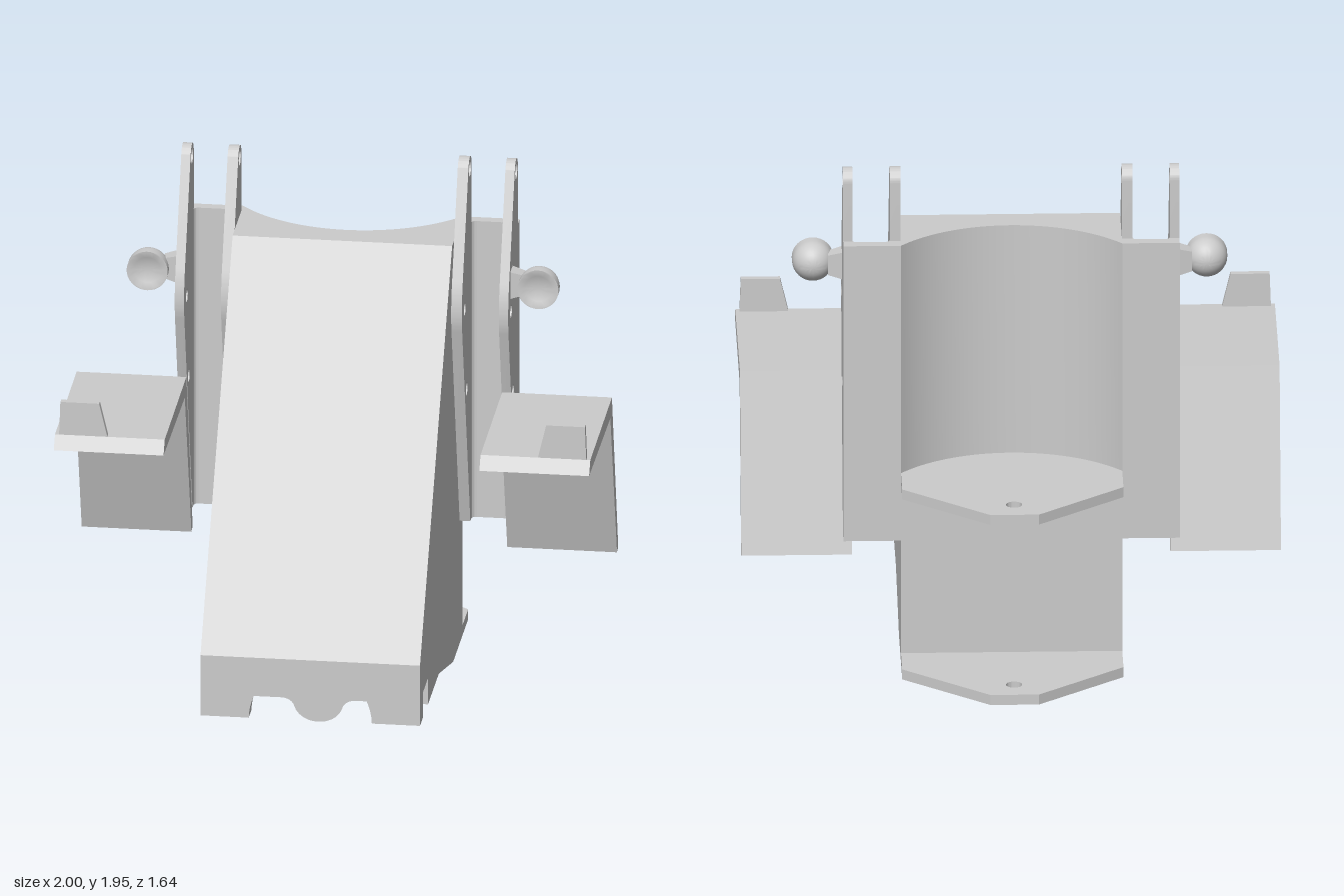
import * as THREE from 'three';
import { toCreasedNormals } from 'three/addons/utils/BufferGeometryUtils.js';

const material = new THREE.MeshStandardMaterial({ color: 0xcccccc });

function polygon(points) {
  return new THREE.Shape(points.map(([a, b]) => new THREE.Vector2(a, b)));
}

function addHole(shape, a, b, r) {
  shape.holes.push(new THREE.Path().absarc(a, b, r, 0, Math.PI * 2, true));
}

function extrude(shape, depth) {
  return new THREE.ExtrudeGeometry(shape, { depth, bevelEnabled: false, curveSegments: 24 });
}

// Side profile drawn as (z, y), spanning x0..x1
function extrudeX(shape, x0, x1) {
  return extrude(shape, Math.abs(x1 - x0)).rotateY(-Math.PI / 2).translate(Math.max(x0, x1), 0, 0);
}

// Plan drawn as (x, -z), spanning y0..y1
function extrudeY(shape, y0, y1) {
  return extrude(shape, y1 - y0).rotateX(-Math.PI / 2).translate(0, y0, 0);
}

// Front outline drawn as (x, y), spanning z0..z1
function extrudeZ(shape, z0, z1) {
  return extrude(shape, z1 - z0).translate(0, 0, z0);
}

export function createModel() {
  const model = new THREE.Group();
  const add = (name, geometry, parent = model) => {
    const mesh = new THREE.Mesh(toCreasedNormals(geometry, 0.5), material);
    mesh.name = name;
    parent.add(mesh);
    return mesh;
  };
  const W = 0.41;

  // Sloped main body
  add('body', extrudeX(polygon([
    [0.82, 0.36], [-0.1, 1.67], [-0.2, 1.67], [-0.2, 0.74], [-0.4, 0.74], [-0.4, 0],
    [-0.13, 0], [0.28, 0.115], [0.59, 0.115], [0.59, 0.36],
  ]), -W, W));

  // Upper back, hollowed by a cylindrical recess
  const R = 0.537, centre = 0.747, a = Math.asin(W / R);
  const recess = polygon([[W, 0.4], [W, 0.2], [-W, 0.2], [-W, 0.4]]);
  recess.absarc(0, centre, R, -Math.PI / 2 - a, -Math.PI / 2 + a, false);
  add('curvedBack', extrudeY(recess, 0.74, 1.67));

  // Front lip with an arch, stepped underneath
  const arch = (y0) => {
    const start = Math.asin((y0 - 0.115) / 0.23);
    const shape = new THREE.Shape();
    shape.moveTo(W, y0);
    shape.lineTo(W, 0.36);
    shape.lineTo(-W, 0.36);
    shape.lineTo(-W, y0);
    shape.absarc(0, 0.115, 0.23, Math.PI - start, start, true);
    return shape;
  };
  add('frontLip', extrudeZ(arch(0.12), 0.74, 0.82));
  add('frontLipRoot', extrudeZ(arch(0.22), 0.59, 0.74));

  // Rounded keel under the front
  const keel = new THREE.Shape();
  keel.moveTo(0.135, 0.115);
  keel.lineTo(-0.135, 0.115);
  keel.quadraticCurveTo(-0.105, 0.112, -0.092, 0.09);
  keel.bezierCurveTo(-0.07, 0.003, 0.07, 0.003, 0.092, 0.09);
  keel.quadraticCurveTo(0.105, 0.112, 0.135, 0.115);
  add('keel', extrudeZ(keel, -0.06, 0.59));

  // Rear hitch plates
  const plate = polygon([[-W, 0.4], [W, 0.4], [W, 0.56], [0.09, 0.82], [-0.09, 0.82], [-W, 0.56]]);
  addHole(plate, 0, 0.72, 0.03);
  add('lowerHitchPlate', extrudeY(plate, 0, 0.04));
  add('upperHitchPlate', extrudeY(plate, 0.72, 0.76));
  // Fills the upper plate out to the recess
  // (the body top at this height already closes the gap)
  add('upperPlateFill', new THREE.BoxGeometry(2 * W, 0.02, 0.2).translate(0, 0.75, -0.3));

  // Lift arm cheek profile
  const cheek = new THREE.Shape();
  cheek.moveTo(-0.4, 0.49);
  cheek.lineTo(-0.315, 0.49);
  cheek.lineTo(-0.082, 1.335);
  cheek.quadraticCurveTo(-0.057, 1.427, -0.1, 1.53);
  cheek.absarc(-0.305, 1.9, 0.047, 0.39, Math.PI, false);
  cheek.lineTo(-0.352, 1.67);
  cheek.lineTo(-0.4, 1.67);
  addHole(cheek, -0.305, 1.9, 0.03);
  addHole(cheek, -0.155, 1.4, 0.025);
  addHole(cheek, -0.21, 1.06, 0.025);

  // Bent fender profile
  const fender = polygon([
    [-0.155, 1.075], [-0.335, 0.41], [-0.3, 0.4], [-0.11, 1.01], [0.5, 1.02], [0.465, 1.07],
  ]);

  for (const [side, s] of [['left', 1], ['right', -1]]) {
    const group = new THREE.Group();
    group.name = side + 'Side';
    model.add(group);

    // Channel bracket: two cheeks and a back strip with filleted corners
    add('innerCheek', extrudeX(cheek, s * 0.41, s * 0.45), group);
    add('outerCheek', extrudeX(cheek, s * 0.588, s * 0.623), group);
    const strip = new THREE.Shape();
    strip.moveTo(s * 0.41, 0.4);
    strip.lineTo(s * 0.623, 0.4);
    strip.lineTo(s * 0.623, 0.34);
    strip.lineTo(s * 0.588, 0.34);
    strip.quadraticCurveTo(s * 0.588, 0.36, s * 0.568, 0.36);
    strip.lineTo(s * 0.47, 0.36);
    strip.quadraticCurveTo(s * 0.45, 0.36, s * 0.45, 0.34);
    strip.lineTo(s * 0.41, 0.34);
    add('bracketBack', extrudeY(strip, 0.49, 1.67), group);

    // Fender with an upright tab near its front edge
    add('fender', extrudeX(fender, s * 0.59, s), group);
    add('fenderTab', extrudeZ(polygon([
      [s * 0.985, 1.06], [s * 0.98, 1.2], [s * 0.835, 1.2], [s * 0.802, 1.06],
    ]), 0.44, 0.465), group);

    // Lamp: rounded shell with a shallow dished face, on a tapered stalk
    const profile = [];
    for (let i = 0; i <= 10; i++) {
      const t = (i / 10) * Math.PI / 2;
      profile.push(new THREE.Vector2(0.077 * Math.sin(t), -0.033 - 0.077 * Math.cos(t)));
    }
    for (const [r, y] of [[0.077, 0], [0.072, 0], [0.05, -0.01], [0.025, -0.016], [0, -0.018]]) {
      profile.push(new THREE.Vector2(r, y));
    }
    add('lamp', new THREE.LatheGeometry(profile, 32).rotateX(Math.PI / 2)
      .translate(s * 0.73, 1.51, -0.105), group);
    add('lampStalk', new THREE.CylinderGeometry(0.055, 0.078, 0.06, 4, 1)
      .rotateY(Math.PI / 4).scale(1, 1, 0.65).rotateX(Math.PI / 2).rotateY(0)
      .applyMatrix4(new THREE.Matrix4().makeBasis(
        new THREE.Vector3(0, s, 0), new THREE.Vector3(0, 0, -1), new THREE.Vector3(-s, 0, 0)))
      .applyMatrix4(new THREE.Matrix4().makeRotationY(0))
      .applyMatrix4(stalkTurn(s))
      .translate(s * 0.645, 1.51, -0.167), group);
  }
  return model;
}

// Turns the stalk so that its narrow end points outward
function stalkTurn(s) {
  return new THREE.Matrix4().makeRotationZ(0).multiply(
    s > 0 ? new THREE.Matrix4().makeRotationY(Math.PI) : new THREE.Matrix4().makeRotationY(Math.PI));
}
